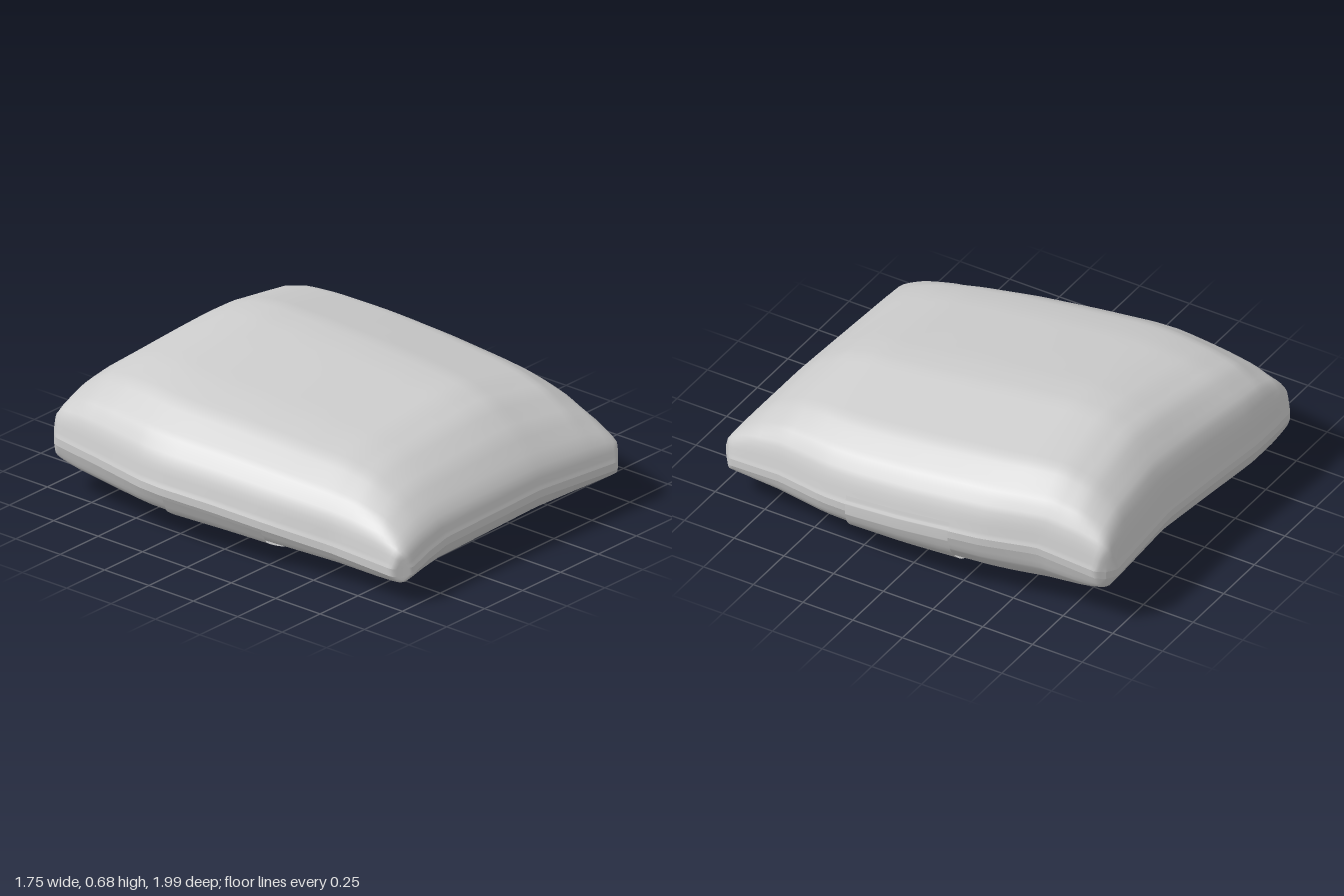
import * as THREE from 'three';

// Path of straight runs through the given points
function path(pts) {
  const line = new THREE.CurvePath();
  const v = pts.map((p) => new THREE.Vector3(...p));
  for (let i = 1; i < v.length; i++) line.add(new THREE.LineCurve3(v[i - 1], v[i]));
  return line;
}

// Piecewise-linear lookup in [[distance, value], ...]
function lookup(table, d) {
  for (let i = 1; i < table.length; i++) {
    const [d0, a] = table[i - 1], [d1, b] = table[i];
    if (d <= d1) return a + ((b - a) * (d - d0)) / (d1 - d0);
  }
  return table[table.length - 1][1];
}

// Surface from fn(s, t); up = true faces the +t x +s side
function gridGeometry(fn, ns, nt, up = true) {
  const pos = [], idx = [];
  for (let i = 0; i <= ns; i++) {
    for (let j = 0; j <= nt; j++) pos.push(...fn(i / ns, j / nt).toArray());
  }
  for (let i = 0; i < ns; i++) {
    for (let j = 0; j < nt; j++) {
      const a = i * (nt + 1) + j, c = a + 1, b = a + nt + 1, d = b + 1;
      if (up) idx.push(a, c, b, b, c, d);
      else idx.push(a, b, c, b, d, c);
    }
  }
  const g = new THREE.BufferGeometry();
  g.setAttribute('position', new THREE.Float32BufferAttribute(pos, 3));
  g.setIndex(idx);
  g.computeVertexNormals();
  return g;
}

// Seam outline, one path per side
const cBL = [-0.76, 0.27, -0.955], cBR = [0.715, 0.28, -0.945];
const cFL = [-0.69, 0.165, 0.95], cFR = [0.72, 0.21, 0.96];
const back = path([cBL, [-0.72, 0.27, -0.988], [-0.58, 0.275, -0.998], [-0.43, 0.28, -1], [-0.1, 0.288, -0.973],
  [0.2, 0.29, -0.948], [0.67, 0.28, -0.975], cBR]);
const front = path([cFL, [-0.655, 0.17, 0.98], [-0.53, 0.195, 0.963], [-0.4, 0.215, 0.953], [0.2, 0.235, 0.965],
  [0.68, 0.21, 0.99], cFR]);
const left = path([cBL, [-0.79, 0.27, -0.92], [-0.83, 0.265, -0.65], [-0.872, 0.257, -0.38], [-0.872, 0.252, -0.26],
  [-0.842, 0.24, 0], [-0.808, 0.22, 0.28], [-0.75, 0.19, 0.6], [-0.727, 0.165, 0.92], cFL]);
const right = path([cBR, [0.75, 0.29, -0.91], [0.778, 0.33, -0.63], [0.83, 0.315, -0.38], [0.845, 0.31, -0.25],
  [0.86, 0.29, 0], [0.86, 0.27, 0.26], [0.85, 0.262, 0.4], [0.8, 0.25, 0.65], [0.76, 0.21, 0.925], cFR]);

// Coons patch spanning the seam: u runs left to right, v back to front
function basePoint(u, v) {
  const p = new THREE.Vector3();
  const add = (q, w) => p.addScaledVector(q, w);
  add(back.getPoint(u), 1 - v);
  add(front.getPoint(u), v);
  add(left.getPoint(v), 1 - u);
  add(right.getPoint(v), u);
  add(new THREE.Vector3(...cBL), -(1 - u) * (1 - v));
  add(new THREE.Vector3(...cBR), -u * (1 - v));
  add(new THREE.Vector3(...cFL), -(1 - u) * v);
  add(new THREE.Vector3(...cFR), -u * v);
  return p;
}

// Puffiness across and along the cushion, with a narrow flat lip at the seam
const WIDTH = 1.74, DEPTH = 1.96, SEAM = 0.035;
const across = [[0, 0], [0.012, 0.06], [0.025, 0.19], [0.05, 0.32], [0.11, 0.52], [0.26, 0.765], [0.46, 0.87],
  [0.95, 1], [1.1, 1], [1.49, 0.79], [1.63, 0.55], [1.69, 0.34], [1.715, 0.19], [1.728, 0.06], [1.74, 0]];
const along = [[0, 0], [0.012, 0.08], [0.035, 0.29], [0.08, 0.57], [0.2, 0.86], [0.34, 0.96], [0.48, 1], [0.73, 0.97],
  [1, 0.94], [1.24, 0.91], [1.49, 0.87], [1.64, 0.765], [1.78, 0.56], [1.88, 0.33], [1.93, 0.16], [1.946, 0.06], [1.96, 0]];
const under = [[0, 0], [0.04, 0.33], [0.1, 0.53], [0.18, 0.74], [0.33, 0.92], [0.5, 1]];
// Soft minimum of two rises, zero along every edge; higher k gives fuller corners
const blend = (a, b, k) => (a < 1e-4 || b < 1e-4 ? 0 : (a ** -k + b ** -k - 1) ** (-1 / k));

function topPoint(u, v) {
  const p = basePoint(u, v);
  p.y += 0.365 * blend(lookup(across, u * WIDTH), lookup(along, v * DEPTH), 1.5);
  return p;
}

function bottomPoint(u, v) {
  const p = basePoint(u, v);
  p.y -= SEAM;
  const floor = 0.028 + 0.06 * Math.max(p.x, -0.36);
  // The underside turns more sharply on the +x side
  const sideways = lookup(under, Math.min(u, (1 - u) * 1.9) * WIDTH);
  const g = blend(sideways, lookup(under, Math.min(v, 1 - v) * DEPTH), 2.3);
  p.y += (floor - p.y) * g;
  return p;
}

export function createModel() {
  const group = new THREE.Group();
  group.name = 'cushion';
  const fabric = new THREE.MeshStandardMaterial({ color: 0xcccccc, side: THREE.DoubleSide });
  fabric.name = 'light grey fabric';
  const addPart = (name, geometry) => {
    const mesh = new THREE.Mesh(geometry, fabric);
    mesh.name = name;
    group.add(mesh);
  };
  // Denser rows near the edges
  const ease = (t) => (1 - Math.cos(Math.PI * t)) / 2;

  addPart('topCover', gridGeometry((s, t) => topPoint(ease(s), ease(t)), 56, 56));
  addPart('bottomCover', gridGeometry((s, t) => bottomPoint(ease(s), ease(t)), 56, 56, false));

  // Seam band around the edge
  const rim = (s) => {
    const k = Math.min(3, Math.floor(s * 4)), t = ease(s * 4 - k);
    return [[t, 0], [1, t], [1 - t, 1], [0, 1 - t]][k];
  };
  addPart('seam', gridGeometry((s, t) => {
    const p = basePoint(...rim(s));
    p.y -= SEAM * t;
    return p;
  }, 224, 1, false));

  // Strap passing underneath and folding just over the seam on the left side
  addPart('strap', gridGeometry((s, t) => {
    const v = 0.375 + 0.26 * t;
    if (s <= 0.85) {
      const u = ease(s / 0.85);
      const p = bottomPoint(u, v);
      p.y -= 0.006;
      p.x += 0.012 * (2 * u - 1) ** 5;
      return p;
    }
    const p = topPoint(1 - 0.01 * ((s - 0.85) / 0.15), v);
    p.x += 0.012;
    p.y += 0.004;
    return p;
  }, 60, 8, false));

  // Settle on the ground
  const box = new THREE.Box3().setFromObject(group);
  group.position.y = -box.min.y;
  return group;
}
